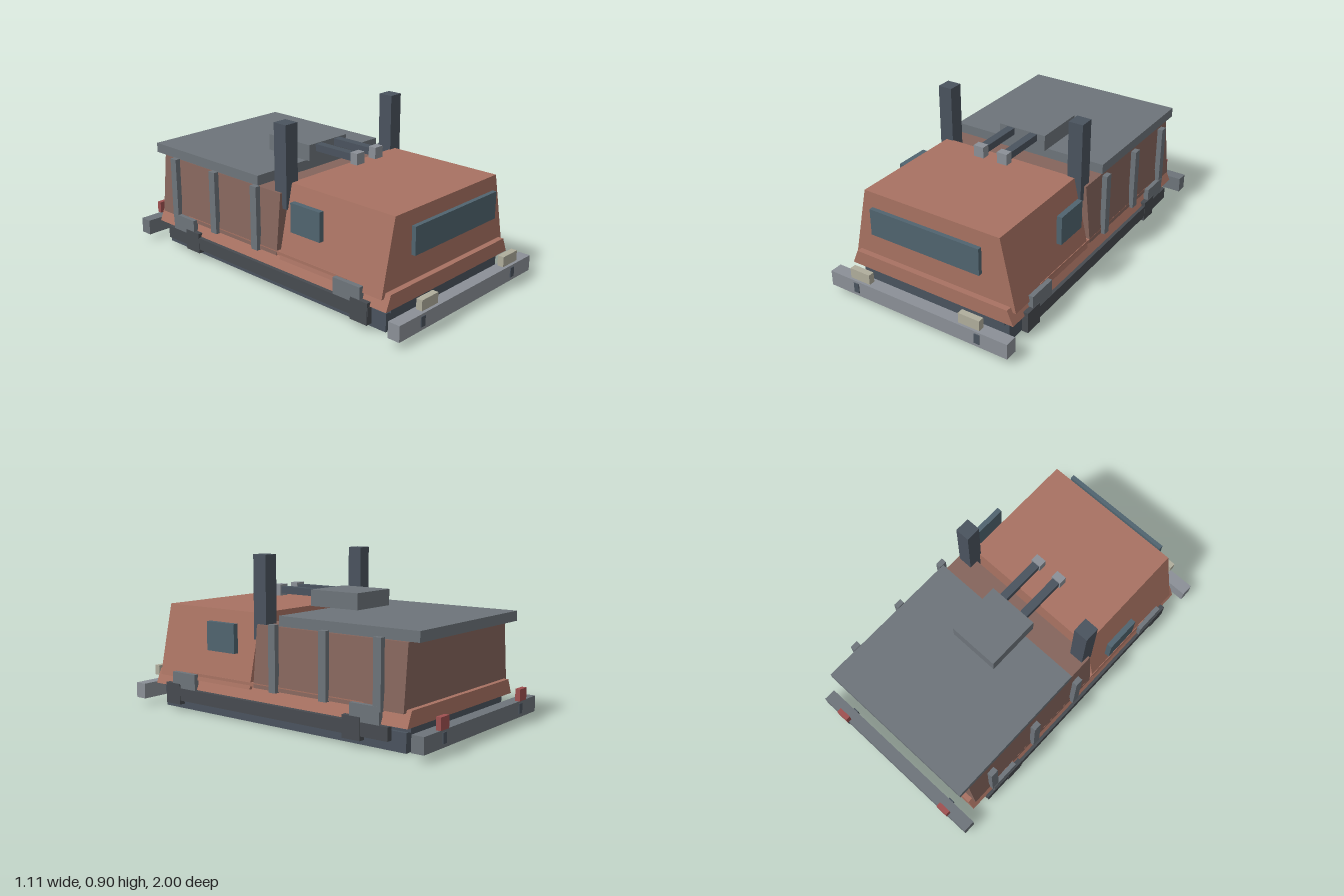
import * as THREE from 'three';

const mat = (color) => new THREE.MeshStandardMaterial({ color });
const paint = mat(0xa87262), brown = mat(0x85655c), steel = mat(0x6d747a), light = mat(0x8b9097);
const dark = mat(0x4a535e), black = mat(0x474b50), glass = mat(0x50646f), lamp = mat(0xb0ad9c), red = mat(0x9e5050);

export function createModel() {
  const model = new THREE.Group();

  const add = (name, geometry, material) => {
    const mesh = new THREE.Mesh(geometry, material);
    mesh.name = name;
    model.add(mesh);
    return mesh;
  };
  // Box from its limits on each axis
  const box = (name, material, [x0, x1], [y0, y1], [z0, z1]) =>
    add(name, new THREE.BoxGeometry(x1 - x0, y1 - y0, z1 - z0), material)
      .position.set((x0 + x1) / 2, (y0 + y1) / 2, (z0 + z1) / 2);
  // The same box on both sides
  const pair = (name, material, [x0, x1], y, z) => {
    box(name + 'Left', material, [x0, x1], y, z);
    box(name + 'Right', material, [-x1, -x0], y, z);
  };
  // Hull section with sloping sides and upright ends
  const hull = (name, material, bottom, top, [y0, y1], [z0, z1]) => {
    const shape = new THREE.Shape([
      new THREE.Vector2(-bottom, y0), new THREE.Vector2(bottom, y0),
      new THREE.Vector2(top, y1), new THREE.Vector2(-top, y1),
    ]);
    add(name, new THREE.ExtrudeGeometry(shape, { depth: z1 - z0, bevelEnabled: false }), material).position.z = z0;
  };

  // Chassis and body
  box('chassis', dark, [-0.465, 0.465], [0, 0.1], [-0.832, 0.832]);
  box('chassisDeck', dark, [-0.445, 0.445], [0.1, 0.135], [-0.845, 0.845]);
  hull('skirt', paint, 0.51, 0.475, [0.133, 0.215], [-0.868, 0.868]);
  hull('cab', paint, 0.505, 0.415, [0.187, 0.588], [0.14, 0.835]);
  hull('rearBody', brown, 0.502, 0.468, [0.2, 0.535], [-0.84, 0.115]);
  box('roof', steel, [-0.475, 0.475], [0.54, 0.595], [-0.908, -0.047]);

  // Windows
  box('windshield', glass, [-0.335, 0.335], [0.38, 0.53], [0.872, 0.896]);
  pair('sideWindow', glass, [0.487, 0.517], [0.37, 0.53], [0.238, 0.44]);

  // Side rails, guards and ribs
  pair('sideRail', black, [0.495, 0.527], [0.06, 0.13], [-0.767, 0.767]);
  pair('sideStrip', paint, [0.475, 0.5], [0.205, 0.225], [-0.605, 0.605]);
  for (const z of [0.71, -0.55])
    pair('railBlock', black, [0.494, 0.529], [0.036, 0.154], [z - 0.055, z + 0.055]);
  for (const z of [0.625, -0.627])
    pair('guardPlate', steel, [0.495, 0.525], [0.125, 0.22], [z - 0.088, z + 0.088]);
  for (const z of [-0.035, -0.367, -0.7])
    pair('rib', steel, [0.493, 0.523], [0.195, 0.552], [z - 0.023, z + 0.023]);

  // Bumpers with tow hooks and lamps
  for (const [end, s, material] of [['front', 1, light], ['rear', -1, steel]]) {
    const span = (a, b) => (s > 0 ? [a, b] : [-b, -a]);
    box(end + 'Bumper', material, [-0.557, 0.557], [0.04, 0.127], span(0.92, 0.99));
    pair(end + 'TowHook', dark, [0.366, 0.398], [0.06, 0.115], span(0.912, 0.995));
  }
  pair('headlight', lamp, [0.28, 0.405], [0.15, 0.207], [0.965, 1]);
  pair('tailLight', red, [0.357, 0.43], [0.13, 0.195], [-1, -0.972]);

  // Exhaust stacks
  pair('exhaustStack', dark, [0.372, 0.455], [0.45, 0.902], [0.062, 0.148]);

  // Roof turret
  box('turret', steel, [-0.146, 0.146], [0.61, 0.7], [-0.303, 0.01]);
  pair('barrel', dark, [0.05, 0.096], [0.657, 0.697], [0, 0.275]);
  pair('muzzle', light, [0.043, 0.104], [0.645, 0.708], [0.27, 0.316]);

  return model;
}
